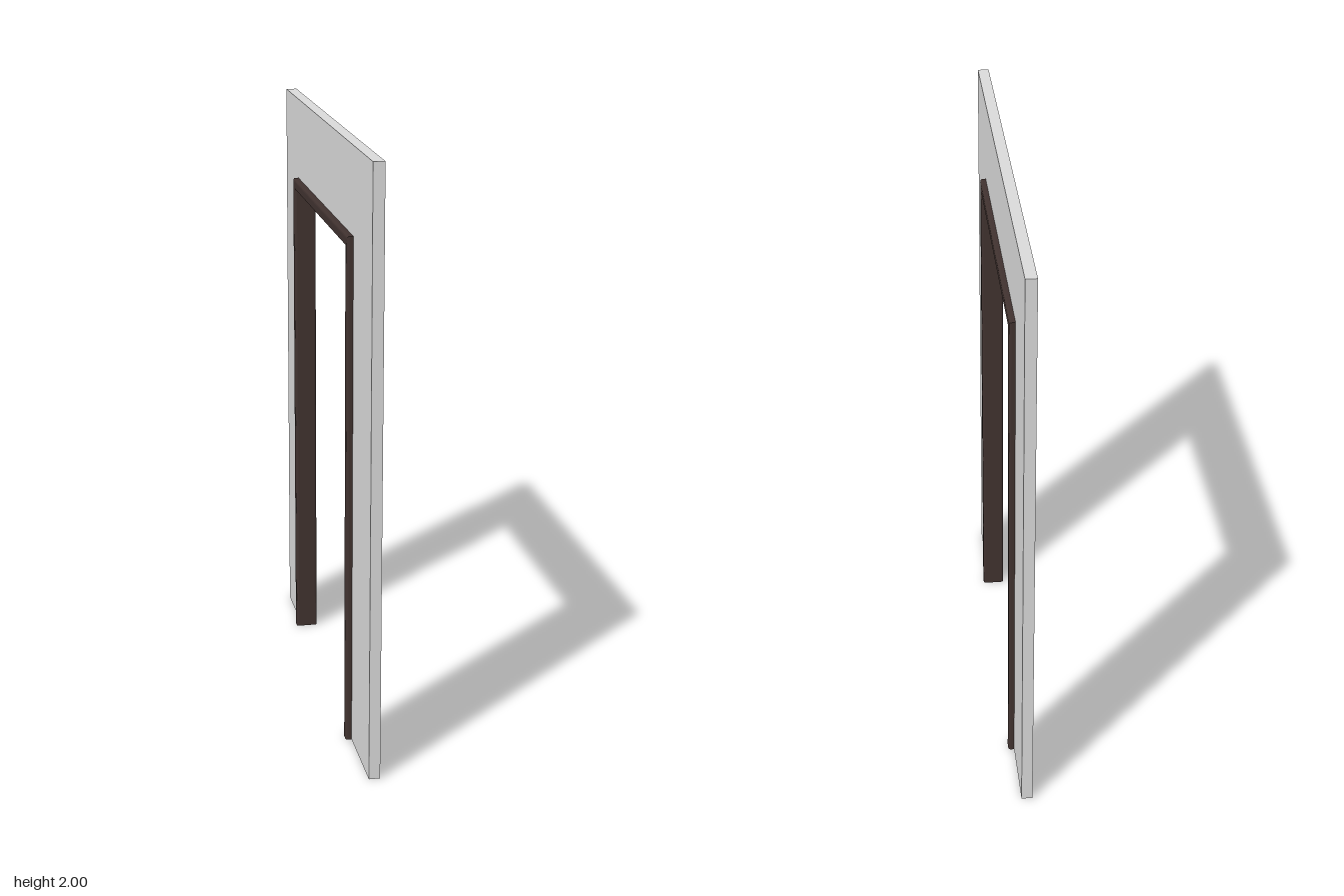
import * as THREE from 'three';

const wallPaint = new THREE.MeshStandardMaterial({ color: 0xd9d9d9 });
wallPaint.name = 'wallPaint';
const darkWood = new THREE.MeshStandardMaterial({ color: 0x40322f });
darkWood.name = 'darkWood';

const WALL = { half: 0.755, height: 2, thick: 0.037 };
const DOOR = { centre: -0.018, half: 0.456, height: 1.682 }; // clear opening
const TRIM = { width: 0.037, depth: 0.076, round: 0.008 };

// Closed trim section: [distance out from the opening, x], rounded corners
function trimSection() {
  const { width: w, depth, round: r } = TRIM;
  const h = depth / 2;
  const corners = [[w - r, h - r, 0], [r, h - r, 1], [r, r - h, 2], [w - r, r - h, 3]];
  const points = [];
  for (const [o, x, quarter] of corners) {
    for (let i = 0; i <= 3; i++) {
      const a = (quarter + i / 3) * Math.PI / 2;
      points.push([o + r * Math.cos(a), x + r * Math.sin(a)]);
    }
  }
  return points;
}

// Sweep the section up one jamb, across the head and down the other, mitred
function trimGeometry() {
  const section = trimSection();
  const n = section.length;
  const { centre, half, height } = DOOR;
  const stations = [[1, 0, 0], [1, height, 1], [-1, height, 1], [-1, 0, 0]];
  const rings = stations.map(([side, y, lift]) =>
    section.map(([o, x]) => [x, y + lift * o, centre + side * (half + o)]));
  const pos = [];
  const tri = (a, b, c) => pos.push(...a, ...b, ...c);
  for (let s = 0; s < 3; s++) {
    for (let i = 0; i < n; i++) {
      const j = (i + 1) % n;
      const [a, b, c, d] = [rings[s][i], rings[s][j], rings[s + 1][j], rings[s + 1][i]];
      tri(a, b, c);
      tri(a, c, d);
    }
  }
  // Flat feet
  for (let i = 1; i < n - 1; i++) {
    tri(rings[0][0], rings[0][i + 1], rings[0][i]);
    tri(rings[3][0], rings[3][i], rings[3][i + 1]);
  }
  const g = new THREE.BufferGeometry();
  g.setAttribute('position', new THREE.Float32BufferAttribute(pos, 3));
  g.computeVertexNormals();
  return g;
}

// Wall outline with the doorway cut out, tucked halfway into the trim
function wallGeometry() {
  const { half: W, height: H, thick } = WALL;
  const tuck = TRIM.width / 2;
  const left = DOOR.centre + DOOR.half + tuck;
  const right = DOOR.centre - DOOR.half - tuck;
  const top = DOOR.height + tuck;
  // Shape x becomes -z after the turn
  const outline = [[-W, 0], [-left, 0], [-left, top], [-right, top], [-right, 0], [W, 0], [W, H], [-W, H]];
  const shape = new THREE.Shape(outline.map(([u, v]) => new THREE.Vector2(u, v)));
  const g = new THREE.ExtrudeGeometry(shape, { depth: thick, bevelEnabled: false });
  return g.translate(0, 0, -thick / 2).rotateY(Math.PI / 2);
}

export function createModel() {
  const model = new THREE.Group();
  model.name = 'doorway';
  const add = (name, geometry, material) => {
    const mesh = new THREE.Mesh(geometry, material);
    mesh.name = name;
    model.add(mesh);
  };
  add('wall', wallGeometry(), wallPaint);
  add('doorFrame', trimGeometry(), darkWood);
  return model;
}
